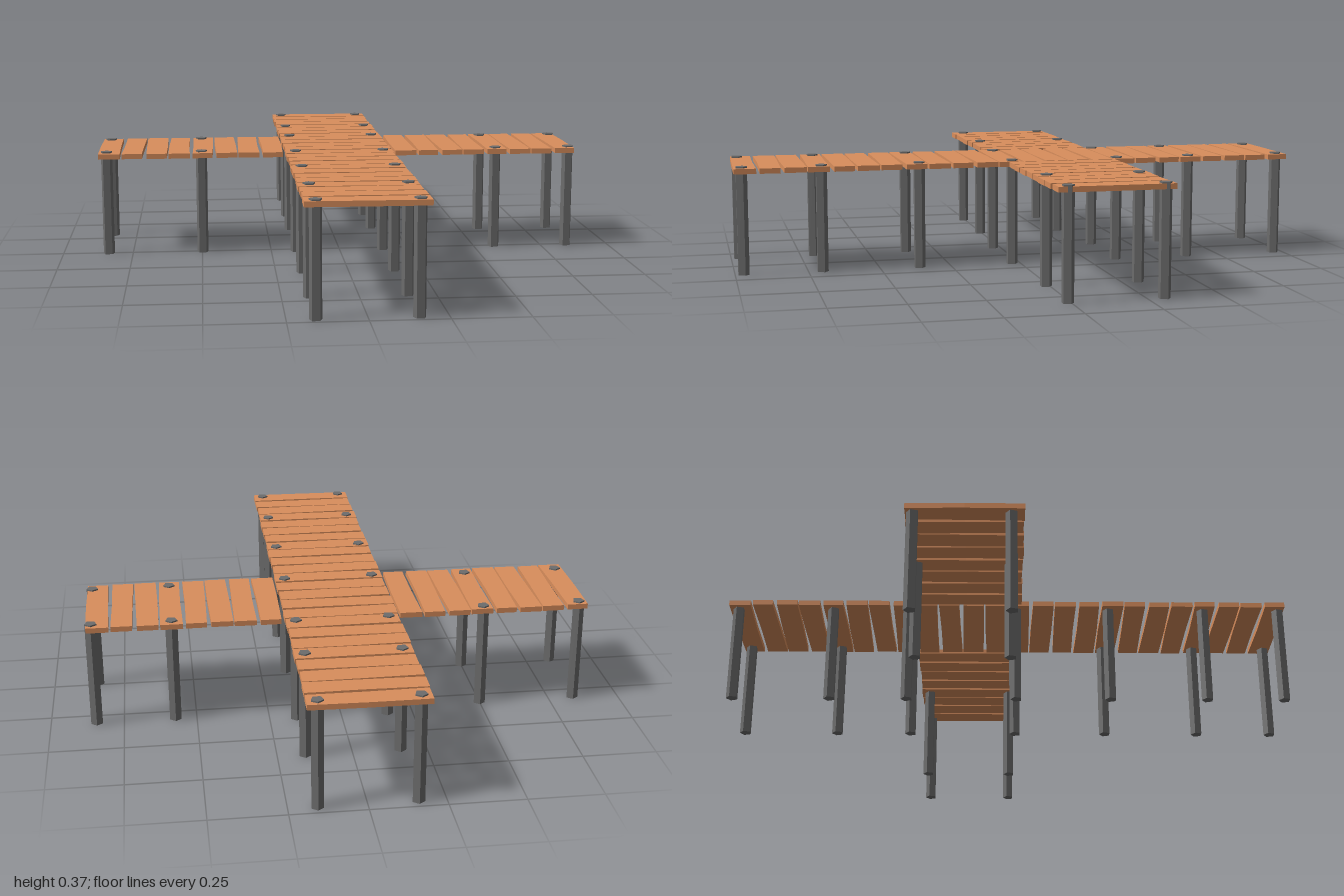
import * as THREE from 'three';

const PITCH = 2 / 24;
const WIDTH = 0.385;
const DECK_Y = 0.359;
const THICK = 0.018;

export function createModel() {
  const model = new THREE.Group();
  model.name = 'crossingPier';
  const wood = new THREE.MeshStandardMaterial({ color: 0xd98e5c, flatShading: true });
  const dark = new THREE.MeshStandardMaterial({ color: 0x6c6c6c, flatShading: true });

  // Rough-cut plank lying along x, with slightly uneven long edges
  function plankGeometry(i) {
    const g = new THREE.BoxGeometry(WIDTH, THICK, PITCH, 2, 1, 1);
    const p = g.attributes.position;
    for (let v = 0; v < p.count; v++) {
      const x = p.getX(v), side = Math.sign(p.getZ(v));
      const end = Math.round(Math.sign(x) * (Math.abs(x) > 0.01 ? 1 : 0));
      const gap = 0.005 + 0.003 * Math.sin(i * 2.3 + end * 1.4 + side);
      p.setZ(v, side * (PITCH / 2 - gap));
      p.setX(v, x + end * 0.002 * Math.sin(i * 1.7 + end));
    }
    g.computeVertexNormals();
    return g;
  }

  // Row of planks running along +z from the group's origin
  function walkway(name, count) {
    const group = new THREE.Group();
    group.name = name;
    for (let i = 0; i < count; i++) {
      const plank = new THREE.Mesh(plankGeometry(i), wood);
      plank.name = 'plank';
      plank.position.set(0, DECK_Y, (i + 0.5) * PITCH);
      group.add(plank);
    }
    model.add(group);
    return group;
  }

  // Long main walkway
  walkway('mainWalkway', 24).position.set(-0.003, 0, -1);

  // Side walkways
  const left = walkway('leftWalkway', 8);
  left.rotation.y = Math.PI / 2;
  left.position.set(0.197, 0, -0.143);
  const right = walkway('rightWalkway', 8);
  right.rotation.y = -Math.PI / 2;
  right.position.set(-0.201, 0, -0.145);

  // Five-sided posts passing through the deck
  const postGeo = new THREE.CylinderGeometry(0.021, 0.021, 0.373, 5);
  postGeo.rotateY(Math.PI);
  function post(x, z) {
    const m = new THREE.Mesh(postGeo, dark);
    m.name = 'post';
    m.position.set(x, 0.1865, z);
    model.add(m);
  }
  for (const z of [-0.965, -0.625, -0.355, 0.03, 0.362, 0.702, 0.972])
    for (const x of [-0.16, 0.157]) post(x, z);
  for (const x of [-0.836, -0.498]) for (const z of [-0.31, 0.007]) post(x, z);
  for (const x of [0.573, 0.843]) for (const z of [-0.305, 0.012]) post(x, z);

  return model;
}
